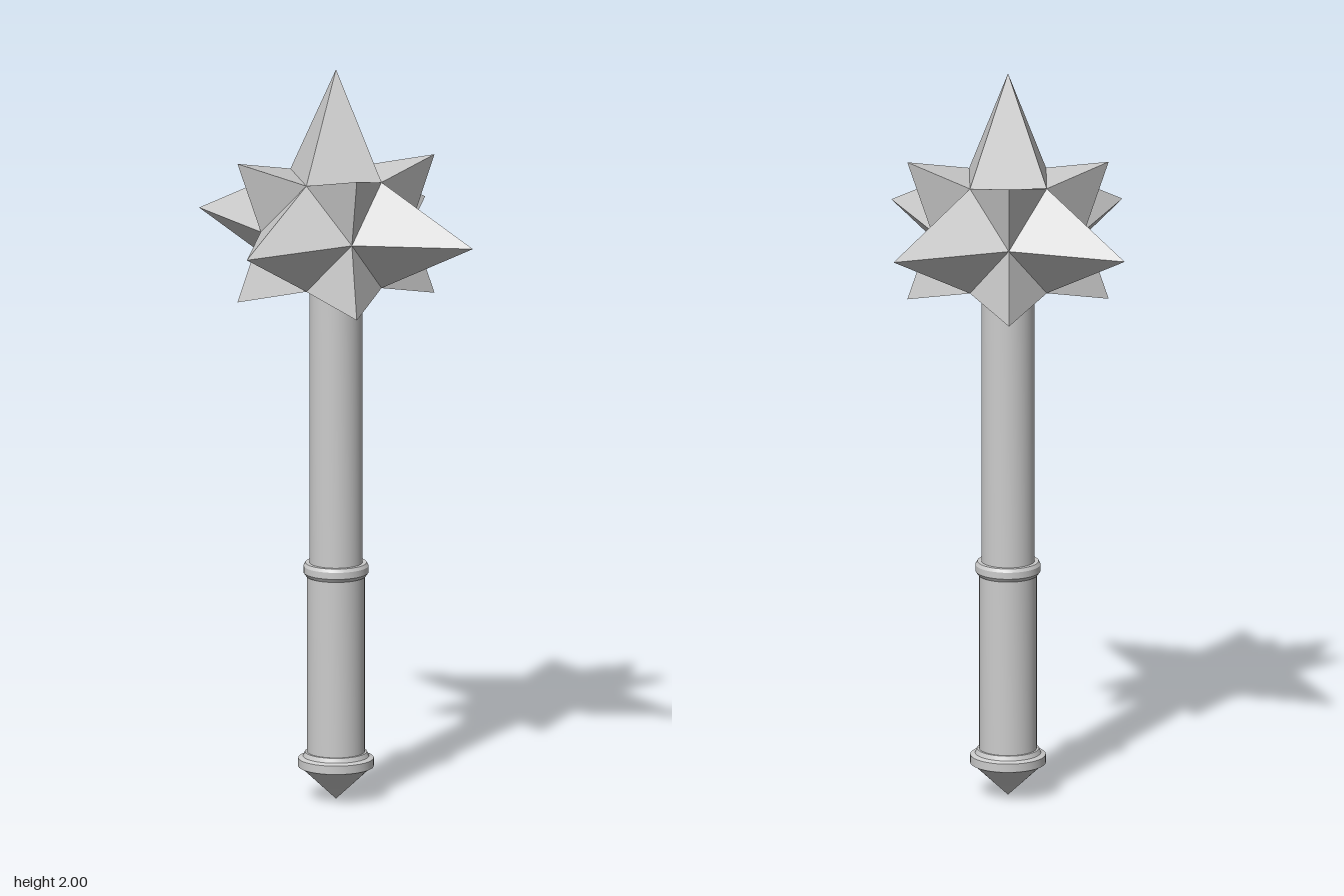
import * as THREE from 'three';
import { toCreasedNormals } from 'three/addons/utils/BufferGeometryUtils.js';

const HEAD_Y = 1.565; // centre of the spiked head
const A = 0.145;      // half size of the cuboctahedron core
const LONG = 0.436;   // reach of the spikes along the axes
const CORNER = 0.19;  // corner spike tip coordinate

const material = new THREE.MeshStandardMaterial({ color: 0xcccccc });
const facetMaterial = new THREE.MeshStandardMaterial({ color: 0xcccccc, flatShading: true });

function turned(name, profile) {
  const points = profile.map(([r, y]) => new THREE.Vector2(r, y));
  const geometry = toCreasedNormals(new THREE.LatheGeometry(points, 40), 0.5);
  const mesh = new THREE.Mesh(geometry, material);
  mesh.name = name;
  return mesh;
}

// Triangles of a star-shaped solid, each wound to face away from the origin
function outwardMesh(name, triangles) {
  const points = [];
  for (const [a, b, c] of triangles) {
    const normal = b.clone().sub(a).cross(c.clone().sub(a));
    points.push(...(normal.dot(a) < 0 ? [a, c, b] : [a, b, c]));
  }
  const geometry = new THREE.BufferGeometry().setFromPoints(points);
  geometry.computeVertexNormals();
  const mesh = new THREE.Mesh(geometry, facetMaterial);
  mesh.name = name;
  return mesh;
}

// Fan from a tip to a closed ring of base points
const fan = (tip, ring) => ring.map((p, i) => [tip, p, ring[(i + 1) % ring.length]]);

function createHead() {
  const head = new THREE.Group();
  head.name = 'spikedHead';
  head.position.y = HEAD_Y;

  // Four-sided spikes on the square faces; the underside stays flat for the shaft
  for (let axis = 0; axis < 3; axis++) {
    for (const s of [1, -1]) {
      const u = (axis + 1) % 3, v = (axis + 2) % 3;
      const at = (du, dv, d) => new THREE.Vector3()
        .setComponent(axis, s * d).setComponent(u, du).setComponent(v, dv);
      const ring = [at(A, 0, A), at(0, A, A), at(-A, 0, A), at(0, -A, A)];
      const flat = axis === 1 && s < 0;
      head.add(outwardMesh(flat ? 'headUnderside' : 'longSpike', fan(at(0, 0, flat ? A : LONG), ring)));
    }
  }

  // Three-sided spikes on the triangular faces
  for (const x of [1, -1]) for (const y of [1, -1]) for (const z of [1, -1]) {
    const tip = new THREE.Vector3(x, y, z).multiplyScalar(CORNER);
    const ring = [[x, y, 0], [0, y, z], [x, 0, z]]
      .map((p) => new THREE.Vector3(...p).multiplyScalar(A));
    head.add(outwardMesh('cornerSpike', fan(tip, ring)));
  }
  return head;
}

export function createModel() {
  const model = new THREE.Group();
  model.name = 'mace';
  model.add(
    turned('pommel', [[0, 0], [0.088, 0.083], [0.101, 0.09], [0.101, 0.113], [0.088, 0.118], [0.083, 0.13], [0.07, 0.13]]),
    turned('grip', [[0.077, 0.1], [0.077, 0.63]]),
    turned('collar', [[0.07, 0.612], [0.08, 0.612], [0.087, 0.622], [0.087, 0.64], [0.082, 0.649], [0.065, 0.649]]),
    turned('shaft', [[0.071, 0.62], [0.071, 1.43]]),
    createHead(),
  );
  return model;
}
